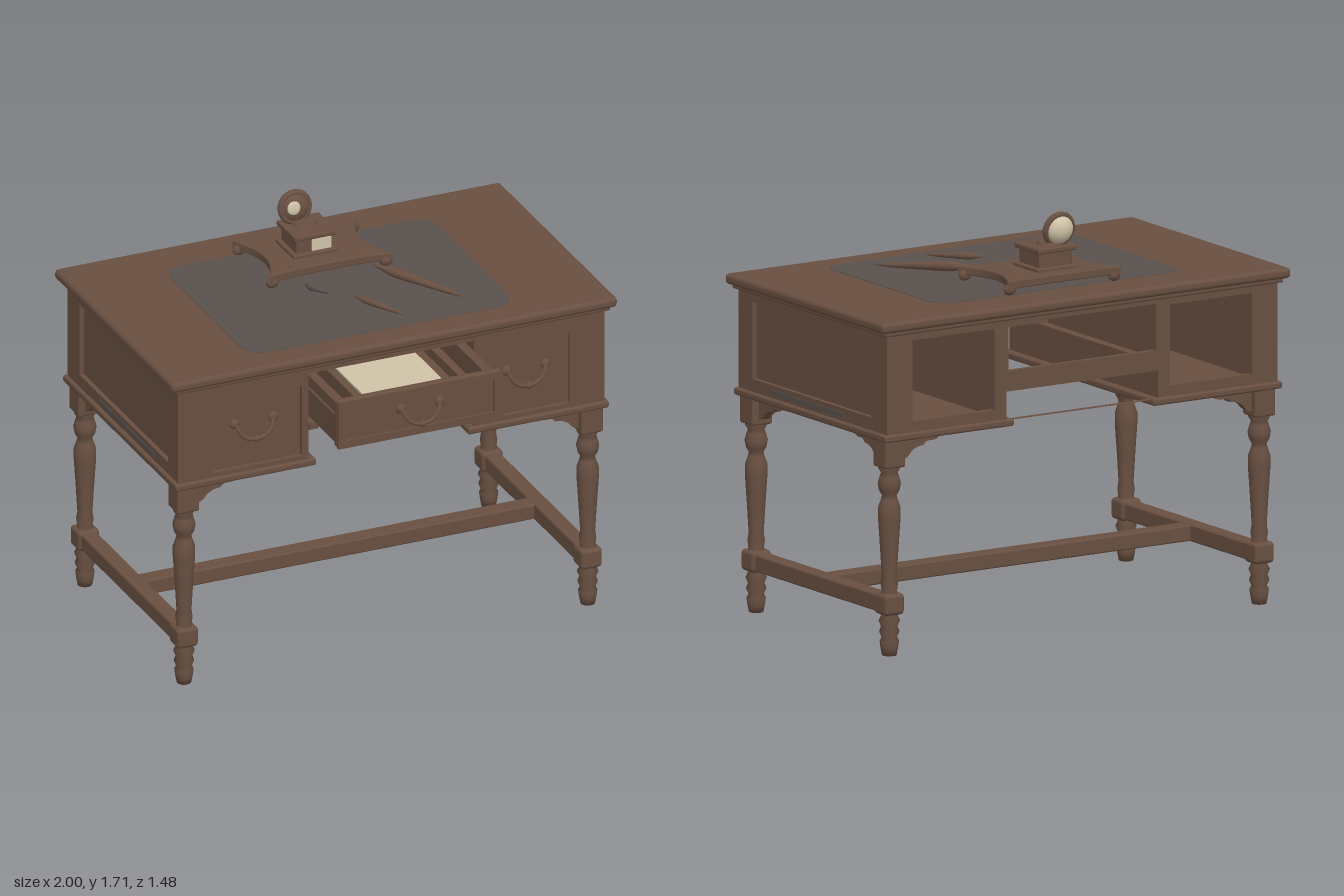
import * as THREE from 'three';
import { RoundedBoxGeometry } from 'three/addons/geometries/RoundedBoxGeometry.js';

const mat = (name, color, side = THREE.FrontSide) => {
  const m = new THREE.MeshStandardMaterial({ color, side });
  m.name = name;
  return m;
};

export function createModel() {
  const wood = mat('wood', 0x684f41);
  const slate = mat('slate leather', 0x585048);
  const cream = mat('cream paper', 0xcfc3a8);
  slate.color.setHex(0x59504c);
  const desk = new THREE.Group();
  desk.name = 'writingDesk';

  const add = (name, geo, material = wood, parent = desk) => {
    const m = new THREE.Mesh(geo, material);
    m.name = name;
    parent.add(m);
    return m;
  };
  // Box given by its lower and upper corners, with optional rounded edges
  const box = (name, a, b, r = 0, material = wood, parent = desk) => {
    const s = a.map((v, i) => b[i] - v);
    const geo = r ? new RoundedBoxGeometry(...s, 2, r) : new THREE.BoxGeometry(...s);
    const m = add(name, geo, material, parent);
    m.position.set(...a.map((v, i) => (v + b[i]) / 2));
    return m;
  };
  // Flat board with rectangular openings, each [x0, y0, x1, y1]
  const outline = (Type, [x0, y0, x1, y1]) => {
    const p = new Type();
    p.moveTo(x0, y0); p.lineTo(x1, y0); p.lineTo(x1, y1); p.lineTo(x0, y1); p.closePath();
    return p;
  };
  const board = (rect, holes, depth) => {
    const s = outline(THREE.Shape, rect);
    holes.forEach(h => s.holes.push(outline(THREE.Path, h)));
    return new THREE.ExtrudeGeometry(s, { depth, bevelEnabled: false });
  };

  // Top with rounded edge and a moulding beneath
  box('deskTop', [-1, 1.368, -0.74], [1, 1.413, 0.45], 0.018);
  box('topMoulding', [-0.975, 1.35, -0.718], [0.975, 1.372, 0.43], 0.008);

  // Leather writing pad
  const pad = new THREE.Shape();
  const r = 0.1;
  pad.moveTo(-0.6 + r, -0.33); pad.lineTo(0.6 - r, -0.33); pad.quadraticCurveTo(0.6, -0.33, 0.6, -0.33 + r);
  pad.lineTo(0.6, 0.55 - r); pad.quadraticCurveTo(0.6, 0.55, 0.6 - r, 0.55);
  pad.lineTo(-0.6 + r, 0.55); pad.quadraticCurveTo(-0.6, 0.55, -0.6, 0.55 - r);
  pad.lineTo(-0.6, -0.33 + r); pad.quadraticCurveTo(-0.6, -0.33, -0.6 + r, -0.33);
  const padMesh = add('writingPad', new THREE.ExtrudeGeometry(pad, { depth: 0.003, bevelEnabled: false }), slate);
  padMesh.rotation.x = -Math.PI / 2;
  padMesh.position.y = 1.412;

  // Back frame: two open compartments and the kneehole opening
  add('backFrame', board([-0.955, 0.93, 0.955, 1.365], [
    [0.43, 0.98, 0.83, 1.32], [-0.83, 0.98, -0.43, 1.32], [-0.36, 1.135, 0.36, 1.33], [-0.37, 0.931, 0.37, 1.05],
  ], 0.025)).position.z = -0.7;
  // Rail over the centre drawer
  box('frontTopRail', [-0.375, 1.32, 0.36], [0.375, 1.365, 0.405]);

  // Swan-neck drawer pull
  const pullCurve = new THREE.CatmullRomCurve3([
    [-0.085, 0.02, 0.012], [-0.072, -0.012, 0.025], [-0.045, -0.04, 0.03], [0, -0.05, 0.032],
    [0.045, -0.04, 0.03], [0.072, -0.012, 0.025], [0.085, 0.02, 0.012],
  ].map(p => new THREE.Vector3(...p)));
  const pull = (x, y, z) => {
    const g = new THREE.Group();
    g.name = 'drawerPull';
    add('bail', new THREE.TubeGeometry(pullCurve, 24, 0.009, 8), wood, g);
    add('bailKnob', new THREE.SphereGeometry(0.015, 10, 8), wood, g).position.set(0, -0.05, 0.032);
    for (const s of [-1, 1]) {
      const rose = add('rosette', new THREE.SphereGeometry(0.022, 12, 8), wood, g);
      rose.position.set(s * 0.087, 0.022, 0.004);
      rose.scale.z = 0.7;
    }
    g.position.set(x, y, z);
    desk.add(g);
  };

  // Pedestals, mirrored left and right
  for (const s of [1, -1]) {
    const bx = (name, a, b, rad, m) =>
      box(name, [Math.min(s * a[0], s * b[0]), a[1], a[2]], [Math.max(s * a[0], s * b[0]), b[1], b[2]], rad, m);
    bx('pedestalBase', [0.34, 0.905, -0.715], [0.972, 0.936, 0.425], 0.01);
    bx('pedestalInnerWall', [0.37, 0.93, -0.68], [0.39, 1.365, 0.4]);
    bx('sidePanel', [0.91, 0.93, -0.68], [0.935, 1.365, 0.4]);
    const frame = add('sideFrame', board([-0.41, 0.93, 0.7, 1.365], [[-0.305, 0.99, 0.58, 1.31]], 0.025));
    frame.rotation.y = Math.PI / 2;
    frame.position.x = s > 0 ? 0.93 : -0.955;
    bx('sideInlay', [0.954, 0.947, -0.38], [0.958, 0.97, 0.17], 0, slate);
    // Front drawer face, sunk in its frame
    bx('pedestalDrawerFront', [0.38, 0.94, 0.36], [0.94, 1.36, 0.392]);
    const hole = s > 0 ? [0.4, 0.955, 0.8, 1.275] : [-0.8, 0.955, -0.4, 1.275];
    const rect = s > 0 ? [0.37, 0.93, 0.955, 1.365] : [-0.955, 0.93, -0.37, 1.365];
    add('pedestalFrontFrame', board(rect, [hole], 0.025)).position.z = 0.385;
    pull(s * 0.61, 1.13, 0.392);
    // Runners for the centre drawer
    bx('drawerRunner', [0.33, 1.07, -0.68], [0.372, 1.1, 0.42]);
  }

  // Open centre drawer
  box('drawerFace', [-0.37, 1.105, 0.66], [0.37, 1.32, 0.695], 0.012);
  add('drawerFaceFrame', board([-0.368, 1.107, 0.368, 1.318], [[-0.33, 1.14, 0.33, 1.285]], 0.014)).position.z = 0.692;
  pull(0, 1.215, 0.698);
  box('drawerBottom', [-0.33, 1.11, 0.1], [0.33, 1.13, 0.665]);
  box('drawerBack', [-0.33, 1.11, 0.1], [0.33, 1.28, 0.12]);
  for (const s of [1, -1]) {
    box('drawerSide', [s * 0.335 - 0.02, 1.11, 0.1], [s * 0.335 + 0.02, 1.295, 0.665]);
    box('drawerSideRail', [s * 0.35 - 0.014, 1.17, 0.1], [s * 0.35 + 0.014, 1.245, 0.665]);
    box('drawerDivider', [s * 0.235 - 0.018, 1.12, 0.12], [s * 0.235 + 0.018, 1.28, 0.64]);
  }
  box('drawerTray', [-0.22, 1.13, 0.12], [0.22, 1.235, 0.62]);
  box('paperStack', [-0.19, 1.235, 0.2], [0.165, 1.255, 0.61], 0, cream);

  // Turned legs with square blocks and scrolled corner brackets
  const foot = [[0, 0], [0.03, 0], [0.036, 0.03], [0.04, 0.06], [0.032, 0.075], [0.042, 0.1],
    [0.034, 0.12], [0.044, 0.145], [0.034, 0.165], [0.04, 0.185]];
  const shaft = [[0.04, 0.24], [0.032, 0.27], [0.036, 0.3], [0.031, 0.33], [0.038, 0.45], [0.046, 0.57],
    [0.046, 0.62], [0.034, 0.655], [0.03, 0.67], [0.042, 0.69], [0.048, 0.72], [0.04, 0.75], [0.034, 0.765],
    [0.046, 0.785], [0.04, 0.81]];
  const lathe = pts => new THREE.LatheGeometry(pts.map(p => new THREE.Vector2(...p)), 18);
  const footGeo = lathe(foot), shaftGeo = lathe(shaft);
  const br = new THREE.Shape();
  br.moveTo(0, 0); br.lineTo(0, -0.095); br.quadraticCurveTo(0.03, -0.095, 0.045, -0.07);
  br.quadraticCurveTo(0.07, -0.045, 0.11, -0.045); br.quadraticCurveTo(0.12, -0.025, 0.15, -0.03);
  br.quadraticCurveTo(0.185, -0.03, 0.2, 0); br.closePath();
  const bracketGeo = new THREE.ExtrudeGeometry(br, { depth: 0.04, bevelEnabled: false, curveSegments: 6 });
  bracketGeo.translate(0, 0, -0.02);
  for (const x of [-0.905, 0.905]) for (const z of [-0.64, 0.355]) {
    const leg = new THREE.Group();
    leg.name = 'leg';
    leg.position.set(x, 0, z);
    desk.add(leg);
    add('turnedFoot', footGeo, wood, leg);
    add('turnedShaft', shaftGeo, wood, leg);
    box('lowerBlock', [-0.048, 0.172, -0.048], [0.048, 0.262, 0.048], 0.018, wood, leg);
    box('upperBlock', [-0.05, 0.79, -0.05], [0.05, 0.91, 0.05], 0.01, wood, leg);
    const inX = x > 0 ? Math.PI : 0, inZ = z > 0 ? Math.PI / 2 : -Math.PI / 2;
    const b1 = add('frontBracket', bracketGeo, wood, leg);
    b1.rotation.y = inX;
    b1.position.set(-Math.sign(x) * 0.045, 0.91, 0);
    const b2 = add('sideBracket', bracketGeo, wood, leg);
    b2.rotation.y = inZ;
    b2.position.set(0, 0.91, -Math.sign(z) * 0.045);
  }

  // H-shaped stretcher
  for (const x of [-0.905, 0.905]) box('sideStretcher', [x - 0.035, 0.178, -0.62], [x + 0.035, 0.25, 0.335], 0.008);
  box('centreStretcher', [-0.89, 0.18, -0.18], [0.89, 0.247, -0.105], 0.008);

  // Desk stand: concave-sided plinth on scrolled feet
  const stand = new THREE.Group();
  stand.name = 'deskStand';
  stand.position.set(0, 1.413, -0.38);
  desk.add(stand);
  const pl = new THREE.Shape();
  pl.moveTo(-0.27, -0.18); pl.quadraticCurveTo(-0.22, -0.155, 0, -0.158); pl.quadraticCurveTo(0.22, -0.155, 0.27, -0.18);
  pl.quadraticCurveTo(0.15, 0, 0.27, 0.18); pl.quadraticCurveTo(0.22, 0.165, 0, 0.168);
  pl.quadraticCurveTo(-0.22, 0.165, -0.27, 0.18); pl.quadraticCurveTo(-0.15, 0, -0.27, -0.18);
  const plinth = add('standPlinth', new THREE.ExtrudeGeometry(pl,
    { depth: 0.026, bevelSize: 0.006, bevelThickness: 0.005, bevelSegments: 2 }), wood, stand);
  plinth.rotation.x = -Math.PI / 2;
  plinth.position.y = 0.03;
  for (const x of [-0.255, 0.255]) for (const z of [-0.168, 0.168]) {
    const f = add('standFoot', new THREE.SphereGeometry(0.025, 10, 8), wood, stand);
    f.position.set(x, 0.024, z);
    f.scale.set(1.2, 1, 0.7);
  }
  box('standBoxFoot', [-0.12, 0.055, -0.11], [0.08, 0.075, 0.08], 0.006, wood, stand);
  box('standBox', [-0.1, 0.07, -0.092], [0.06, 0.15, 0.062], 0.004, wood, stand);
  box('standBoxLid', [-0.115, 0.135, -0.108], [0.075, 0.157, 0.078], 0.006, wood, stand);
  box('standLabel', [-0.032, 0.077, 0.06], [0.055, 0.128, 0.066], 0, cream, stand);
  const cap = add('standCap', new THREE.CylinderGeometry(0.045, 0.055, 0.016, 20), wood, stand);
  cap.position.set(-0.025, 0.163, -0.03);

  // Tilted round dial with a domed pale back
  const dial = new THREE.Group();
  dial.name = 'roundDial';
  dial.position.set(-0.05, 0.222, -0.068);
  dial.rotation.x = -0.15;
  stand.add(dial);
  add('dialRim', new THREE.TorusGeometry(0.062, 0.014, 10, 28), wood, dial);
  const face = add('dialFace', new THREE.SphereGeometry(0.062, 20, 8, 0, Math.PI * 2, 0, Math.PI / 2), wood, dial);
  face.rotation.x = Math.PI / 2;
  face.scale.y = 0.5;
  const spot = add('dialSpot', new THREE.SphereGeometry(0.03, 16, 8), cream, dial);
  spot.position.set(-0.015, 0.004, 0.027);
  spot.scale.z = 0.3;
  const dome = add('dialDome', new THREE.SphereGeometry(0.062, 20, 8, 0, Math.PI * 2, 0, Math.PI / 2), cream, dial);
  dome.rotation.x = -Math.PI / 2;
  dome.scale.y = 0.8;
  add('dialStem', new THREE.CylinderGeometry(0.014, 0.022, 0.05, 12), wood, stand).position.set(-0.045, 0.165, -0.06);

  // Pens lying on the pad
  const pen = (name, from, to, radius, material) => {
    const a = new THREE.Vector3(...from), d = new THREE.Vector3(...to).sub(a), len = d.length();
    const m = add(name, lathe([[0, 0], [radius * 0.3, len * 0.04], [radius, len * 0.22], [radius * 0.9, len * 0.4],
      [radius * 0.5, len * 0.8], [0, len]]), material);
    m.position.copy(a);
    m.quaternion.setFromUnitVectors(new THREE.Vector3(0, 1, 0), d.normalize());
  };
  pen('longPen', [0.175, 1.453, -0.165], [0.43, 1.422, 0.22], 0.021, wood);
  pen('shortPen', [0, 1.437, 0.04], [0.14, 1.421, 0.27], 0.015, wood);
  pen('penNib', [-0.135, 1.43, -0.155], [-0.065, 1.42, -0.055], 0.018, slate);

  return desk;
}
